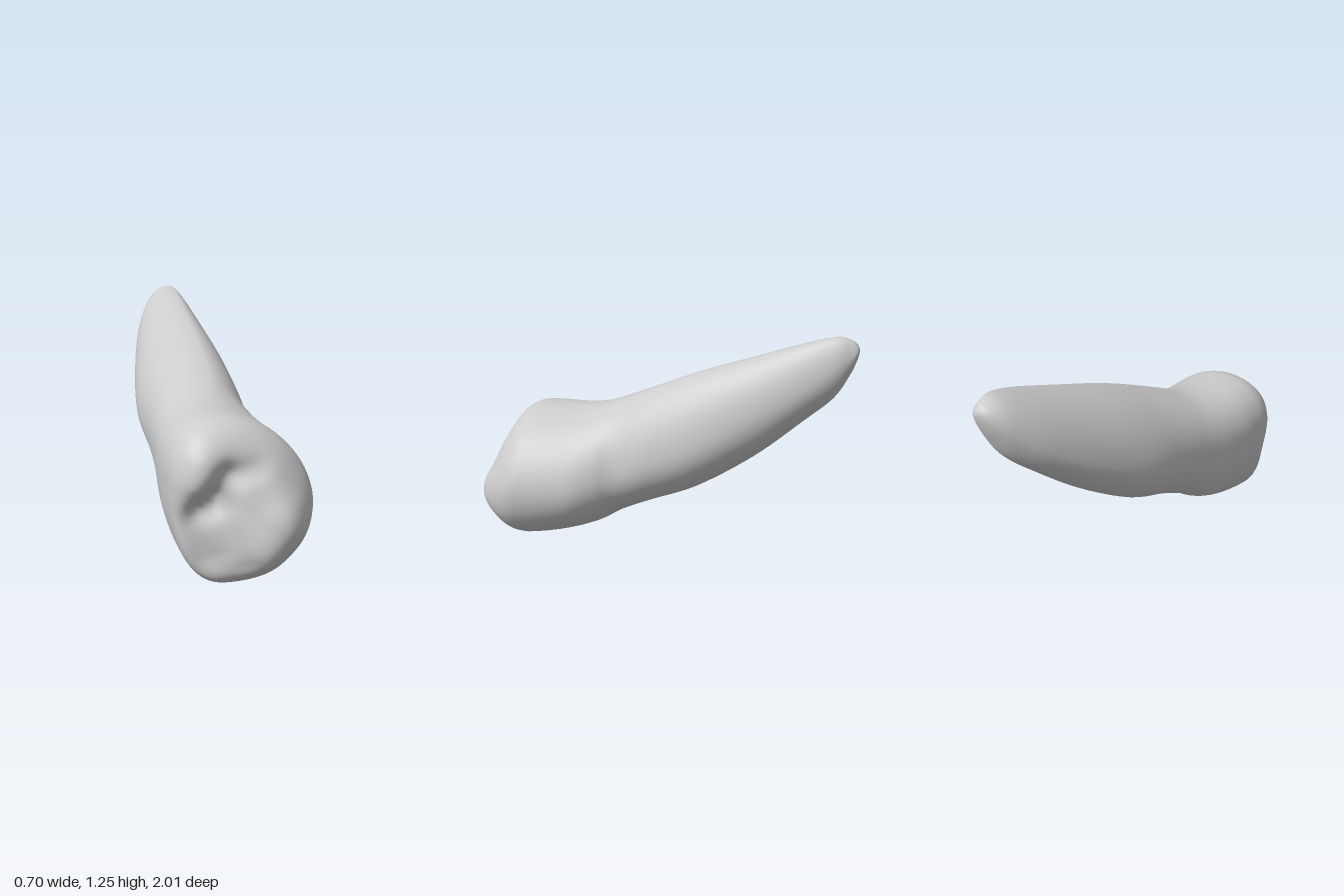
import * as THREE from 'three';

const AROUND = 80, STEPS = 6, CAP = 36;

// Cross-sections from root tip to crown: z, top y, bottom y, min x, max x,
// x of the top point, x of the bottom point, y of the min-x point, y of the max-x point
const SECTIONS = [
  [-1.0, 1.19, 1.185, 0.058, 0.062, 0.06, 0.06, 1.188, 1.188],
  [-0.99, 1.215, 1.14, 0.02, 0.095, 0.06, 0.06, 1.18, 1.18],
  [-0.96, 1.24, 1.06, -0.03, 0.118, 0.07, 0.05, 1.14, 1.15],
  [-0.89, 1.255, 0.935, -0.09, 0.15, 0.08, 0.03, 1.07, 1.1],
  [-0.75, 1.22, 0.8, -0.163, 0.18, 0.085, 0, 0.95, 1.0],
  [-0.5, 1.135, 0.585, -0.235, 0.22, 0.07, 0, 0.79, 0.84],
  [-0.2, 1.03, 0.385, -0.292, 0.255, 0.05, -0.03, 0.65, 0.66],
  [0.05, 0.925, 0.28, -0.297, 0.257, 0.03, -0.04, 0.59, 0.55],
  [0.22, 0.85, 0.2, -0.305, 0.254, 0, -0.06, 0.55, 0.47],
  [0.33, 0.806, 0.13, -0.318, 0.293, -0.03, -0.08, 0.53, 0.43],
  [0.45, 0.784, 0.08, -0.336, 0.332, -0.06, -0.1, 0.51, 0.39],
  [0.6, 0.78, 0.03, -0.35, 0.348, -0.08, -0.1, 0.5, 0.38],
  [0.7, 0.78, 0.003, -0.35, 0.349, -0.08, -0.1, 0.5, 0.38],
];
const NECK = 8; // section where the root meets the crown

function catmull(a, b, c, d, t) {
  return b + 0.5 * t * (c - a + t * (2 * a - 5 * b + 4 * c - d + t * (3 * (b - c) + d - a)));
}

function sectionAt(u) {
  const i = Math.min(Math.floor(u), SECTIONS.length - 2);
  const at = (k) => SECTIONS[THREE.MathUtils.clamp(k, 0, SECTIONS.length - 1)];
  return SECTIONS[0].map((_, n) => catmull(at(i - 1)[n], at(i)[n], at(i + 1)[n], at(i + 2)[n], u - i));
}

// Four quarter-curves make one egg-shaped ring, flatter at the top of +x and, on the crown,
// fuller on -x; the crown rings lean forward at the bottom
function ringPoints([z, top, bottom, minX, maxX, topX, bottomX, minXY, maxXY]) {
  const lean = 2.6 * Math.max(0, z - 0.45) ** 2;
  const leftPower = THREE.MathUtils.lerp(1.05, 0.87, THREE.MathUtils.smoothstep(z, -0.2, 0.45));
  return Array.from({ length: AROUND }, (_, j) => {
    const a = (j / AROUND) * Math.PI * 2, s = Math.sin(a), c = Math.cos(a);
    const cx = c >= 0 ? topX : bottomX, cy = s >= 0 ? maxXY : minXY;
    const power = s < 0 ? leftPower : c > 0 ? 1.1 : 1;
    const x = cx + Math.abs(s) ** power * ((s >= 0 ? maxX : minX) - cx);
    const y = cy + Math.abs(c) ** power * ((c >= 0 ? top : bottom) - cy);
    return new THREE.Vector3(x, y, z + lean * (0.4 - y));
  });
}

// Soft ridge or groove along a segment
function stroke(x, y, ax, ay, bx, by, width) {
  const dx = bx - ax, dy = by - ay;
  const t = THREE.MathUtils.clamp(((x - ax) * dx + (y - ay) * dy) / (dx * dx + dy * dy), 0, 1);
  const d = Math.hypot(x - ax - dx * t, y - ay - dy * t) / width;
  return Math.exp(-d * d);
}

// Height of the chewing surface: main cusp and its ridge, side cusp, low flank, pit and grooves
function chewingHeight(x, y) {
  return 0.89
    + 0.125 * stroke(x, y, 0.07, 0.16, 0.15, 0.26, 0.18)
    + 0.03 * stroke(x, y, 0.13, 0.42, 0.08, 0.52, 0.12)
    + 0.035 * stroke(x, y, -0.28, 0.5, -0.24, 0.6, 0.1)
    - 0.06 * stroke(x, y, -0.27, 0.3, -0.2, 0.16, 0.1)
    - 0.06 * stroke(x, y, -0.22, 0.39, -0.16, 0.42, 0.07)
    - 0.03 * stroke(x, y, -0.14, 0.36, -0.04, 0.14, 0.06)
    - 0.03 * stroke(x, y, -0.15, 0.47, -0.1, 0.54, 0.07)
    - 0.02 * stroke(x, y, -0.1, 0.54, 0.02, 0.57, 0.06);
}

export function createModel() {
  const rings = [];
  // Root and crown walls
  const count = (SECTIONS.length - 1) * STEPS;
  for (let i = 0; i <= count; i++) rings.push(ringPoints(sectionAt(i / STEPS)));

  // Rounded rim closing into the chewing surface
  const rim = rings[count];
  for (let i = 1; i <= CAP; i++) {
    const s = Math.max(Math.cos((i / CAP) * Math.PI / 2), 0.002);
    const rise = (1 - s ** 2.8) ** (1 / 2.8);
    rings.push(rim.map((p) => {
      const x = p.x * s, y = 0.38 + (p.y - 0.38) * s;
      return new THREE.Vector3(x, y, p.z + (chewingHeight(x, y) - p.z) * rise);
    }));
  }

  // Both parts share one set of smooth normals so the neck shows no seam
  const rootIndex = [], crownIndex = [];
  for (let i = 0; i < rings.length - 1; i++) {
    const index = i < NECK * STEPS ? rootIndex : crownIndex;
    for (let j = 0; j < AROUND; j++) {
      const k = (j + 1) % AROUND;
      const a = i * AROUND + j, c = i * AROUND + k;
      index.push(a, a + AROUND, c, a + AROUND, c + AROUND, c);
    }
  }
  const whole = new THREE.BufferGeometry().setFromPoints(rings.flat());
  whole.setIndex([...rootIndex, ...crownIndex]);
  whole.computeVertexNormals();

  const material = new THREE.MeshStandardMaterial({ color: 0xcccccc });
  const tooth = new THREE.Group();
  tooth.name = 'tooth';
  for (const [name, index] of [['root', rootIndex], ['crown', crownIndex]]) {
    const geometry = whole.clone();
    geometry.setIndex(index);
    const mesh = new THREE.Mesh(geometry, material);
    mesh.name = name;
    tooth.add(mesh);
  }
  return tooth;
}
